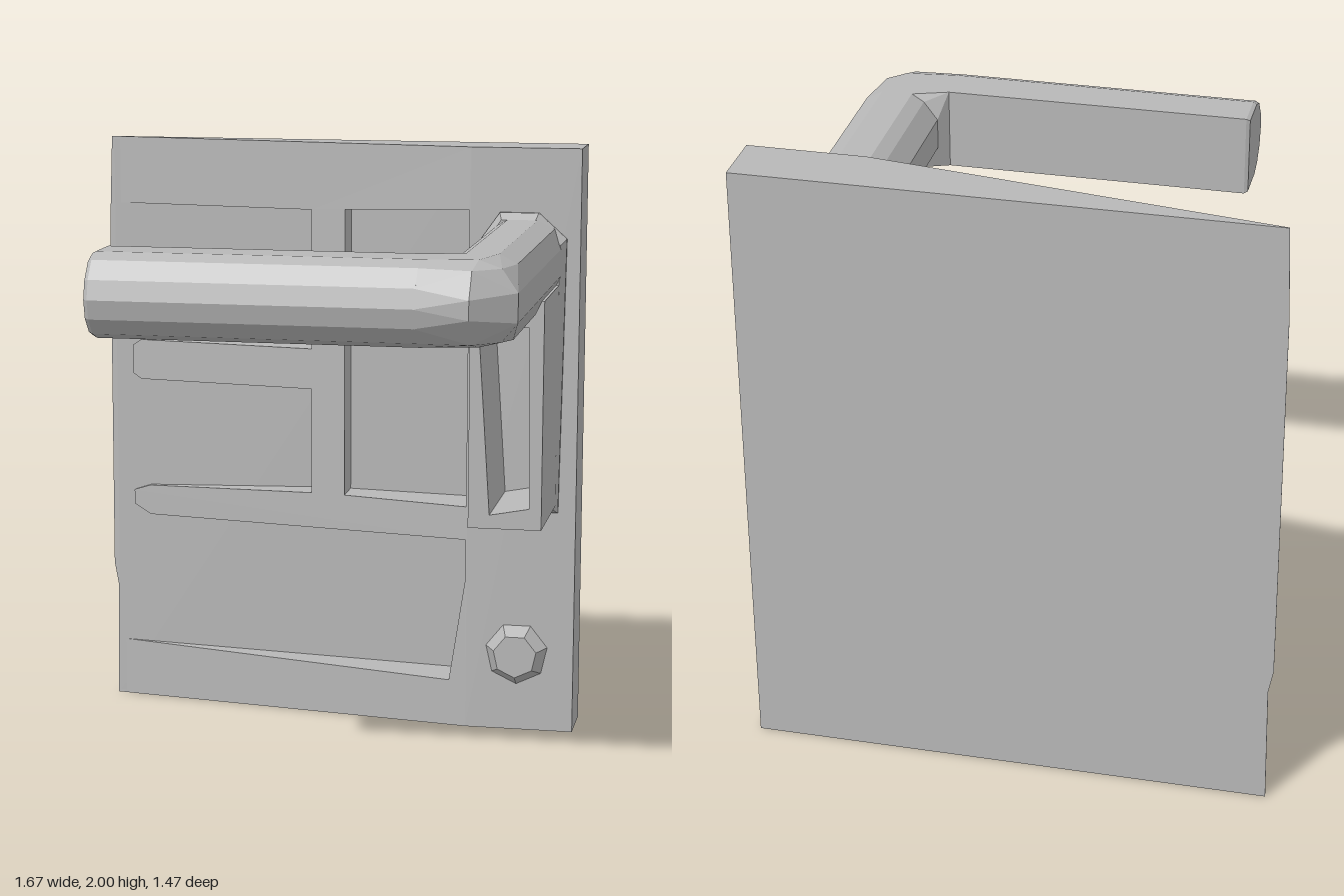
import * as THREE from 'three';
import { ConvexGeometry } from 'three/addons/geometries/ConvexGeometry.js';

const BACK = -0.73, FRONT = -0.535;

export function createModel() {
  const group = new THREE.Group();
  const grey = new THREE.MeshStandardMaterial({ color: 0xb8b8b8, flatShading: true });
  grey.name = 'plain grey';

  const add = (name, geometry) => {
    const mesh = new THREE.Mesh(geometry, grey);
    mesh.name = name;
    group.add(mesh);
    return mesh;
  };
  const outline = (pts) => pts.map(([x, y]) => new THREE.Vector2(x, y));
  const extrude = (pts, holes, depth) => {
    const shape = new THREE.Shape(outline(pts));
    holes.forEach((h) => shape.holes.push(new THREE.Path(outline(h))));
    return new THREE.ExtrudeGeometry(shape, { depth, bevelEnabled: false });
  };
  const hull = (pts) => new ConvexGeometry(pts.map((p) => new THREE.Vector3(...p)));
  const box = (name, x0, x1, y0, y1, z0, z1) =>
    add(name, new THREE.BoxGeometry(x1 - x0, y1 - y0, z1 - z0))
      .position.set((x0 + x1) / 2, (y0 + y1) / 2, (z0 + z1) / 2);

  // Thick mounting side of the plate
  box('plateBlock', 0.46, 0.83, 0, 2, BACK, FRONT);

  // Tapered side of the plate: pockets leave a frame and ribs standing
  const ribbedPocket = [
    [-0.8, 1.77], [-0.1, 1.77], [-0.1, 1.29], [-0.73, 1.29], [-0.76, 1.27], [-0.76, 1.17],
    [-0.73, 1.15], [-0.1, 1.15], [-0.1, 0.785], [-0.7, 0.77], [-0.76, 0.75], [-0.76, 0.7],
    [-0.7, 0.665], [0.455, 0.66], [0.455, 0.52], [0.4, 0.16], [-0.8, 0.2],
  ];
  const plainPocket = [[0.02, 0.785], [0.02, 1.775], [0.455, 1.79], [0.455, 0.775]];
  const wedge = extrude(
    [[-0.83, 0], [0.46, 0], [0.46, 2], [-0.83, 2], [-0.84, 1.7], [-0.84, 0.48], [-0.825, 0.5 - 0.1]],
    [ribbedPocket, plainPocket], 1);
  const pos = wedge.attributes.position;
  for (let i = 0; i < pos.count; i++) {
    const taper = Math.max(0, (pos.getX(i) + 0.84) / 1.3);
    pos.setZ(i, BACK + pos.getZ(i) * (0.002 + taper * (FRONT - BACK - 0.002)));
  }
  wedge.computeVertexNormals();
  add('wedgeFrame', wedge);
  box('pocketFloor', -0.82, 0.46, 0.01, 1.99, BACK, BACK + 0.008);

  // Chamfered flange between plate and handle
  const flange = [[0.5, 0.77], [0.77, 0.77], [0.785, 1.7], [0.69, 1.785], [0.56, 1.785], [0.5, 1.7]];
  const rings = [];
  for (const [x, y] of flange) {
    rings.push([x, y, FRONT - 0.01], [x, y, FRONT + 0.015]);
    rings.push([0.64 + (x - 0.64) * 0.88, 1.28 + (y - 1.28) * 0.96, -0.485]);
  }
  add('flange', hull(rings));

  // Bracket under the shaft with an open slot in its front
  const bracket = extrude(
    [[0.525, 0.8], [0.765, 0.8], [0.765, 1.55], [0.525, 1.55]],
    [[[0.595, 0.845], [0.555, 1.44], [0.715, 1.465], [0.725, 0.87]]], 0.4);
  bracket.translate(0, 0, -0.495);
  add('bracket', bracket);

  // Shaft reaching forward from the plate
  const shaftSection = [
    [0.505, 1.58], [0.505, 1.68], [0.55, 1.74], [0.59, 1.765], [0.69, 1.765],
    [0.745, 1.735], [0.77, 1.67], [0.77, 1.58], [0.735, 1.505], [0.55, 1.505],
  ];
  const shaftRing = (z) => shaftSection.map(([x, y]) => [x, y, z]);
  add('shaft', hull([...shaftRing(-0.51), ...shaftRing(0.44)]));

  // Lever: flat back, rounded front
  const leverSection = [
    [0.48, 1.5], [0.48, 1.765], [0.62, 1.765], [0.675, 1.745],
    [0.72, 1.69], [0.735, 1.63], [0.72, 1.57], [0.675, 1.52], [0.62, 1.5],
  ];
  const leverRing = (x) => leverSection.map(([z, y]) => [x, y, z]);
  add('lever', hull([
    ...leverRing(0.48), ...leverRing(-0.515),
    ...leverSection.map(([z, y]) => [-0.527, 1.63 + (y - 1.63) * 0.95, 0.6 + (z - 0.6) * 0.95]),
  ]));

  // Elbow joining shaft and lever, cut off at the outer corner
  add('elbow', hull([
    ...shaftRing(0.44), ...leverRing(0.475),
    [0.77, 1.67, 0.61], [0.77, 1.58, 0.61], [0.64, 1.66, 0.73], [0.64, 1.6, 0.73],
    [0.65, 1.765, 0.6], [0.72, 1.74, 0.6], [0.64, 1.74, 0.675],
    [0.65, 1.503, 0.6], [0.72, 1.52, 0.6], [0.64, 1.52, 0.675],
  ]));

  // Faceted bolt head near the bottom corner
  const bolt = new THREE.CylinderGeometry(0.075, 0.112, 0.055, 7);
  bolt.rotateX(Math.PI / 2);
  add('bolt', bolt).position.set(0.635, 0.27, -0.513);

  return group;
}
